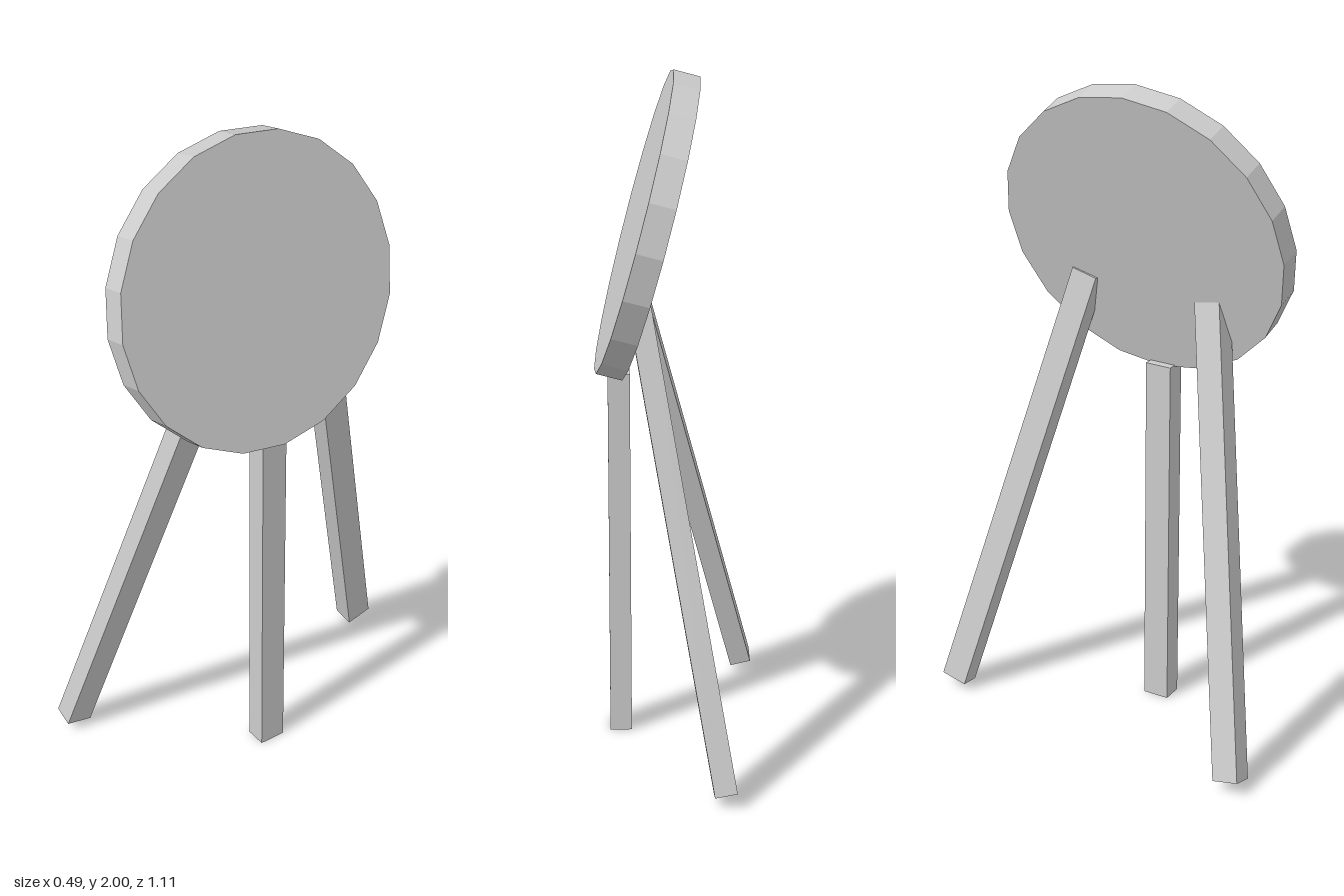
import * as THREE from 'three';

export function createModel() {
  const model = new THREE.Group();
  const material = new THREE.MeshStandardMaterial({ color: 0xcccccc, flatShading: true });

  // Tilted round panel, 20-sided
  const panel = new THREE.Mesh(new THREE.CylinderGeometry(0.452, 0.452, 0.078, 20), material);
  panel.name = 'roundPanel';
  panel.position.set(0.09, 1.555, 0.05);
  panel.rotation.z = THREE.MathUtils.degToRad(-75);
  model.add(panel);

  // Straight square-cut leg between two points, its wide side kept along z
  function addLeg(name, foot, top) {
    const a = new THREE.Vector3(...foot);
    const b = new THREE.Vector3(...top);
    const leg = new THREE.Mesh(new THREE.BoxGeometry(0.065, a.distanceTo(b), 0.082), material);
    const up = b.clone().sub(a).normalize();
    const side = new THREE.Vector3(1, 0, 0).addScaledVector(up, -up.x).normalize();
    const depth = side.clone().cross(up);
    leg.quaternion.setFromRotationMatrix(new THREE.Matrix4().makeBasis(side, up, depth));
    leg.position.copy(a).add(b).multiplyScalar(0.5);
    leg.name = name;
    model.add(leg);
  }

  // One upright leg under the rim, two splayed legs running into the panel's rear face
  addLeg('uprightLeg', [0.173, 0, 0.056], [0.173, 1.12, 0.056]);
  addLeg('splayedLegFront', [-0.217, 0.035, 0.513], [0.13, 1.36, 0.239]);
  addLeg('splayedLegBack', [-0.118, 0.03, -0.512], [0.118, 1.38, -0.166]);

  return model;
}
